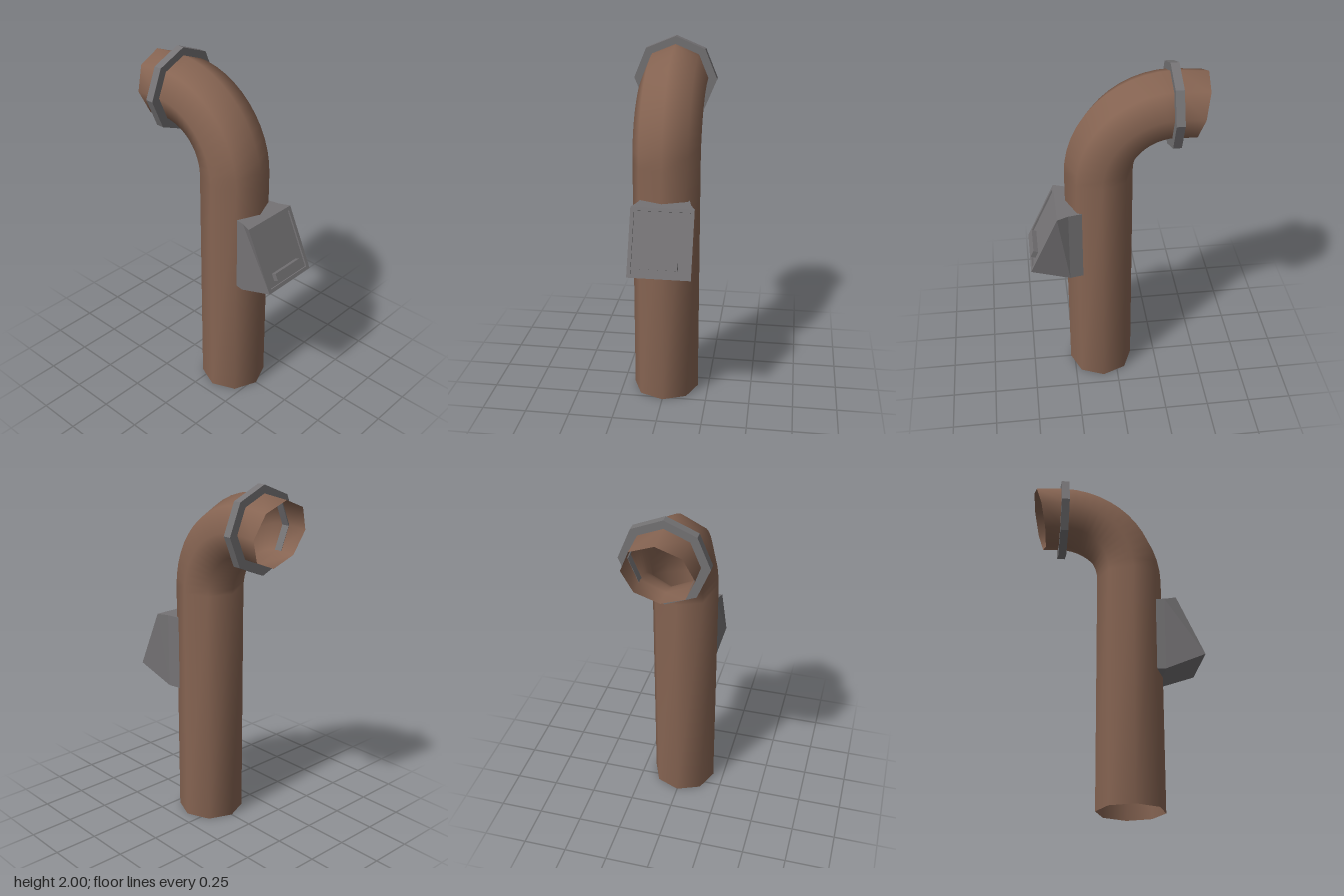
import * as THREE from 'three';

const SIDES = 8;

// Eight-sided bent tube, swept ring by ring and open at both ends
function pipeGeometry(stations, r) {
  const pos = [], idx = [];
  for (const [x, y, t] of stations) {
    for (let i = 0; i < SIDES; i++) {
      const a = (i / SIDES) * Math.PI * 2;
      const c = r * Math.cos(a);
      pos.push(x + c * Math.cos(t), y + c * Math.sin(t), r * Math.sin(a));
    }
  }
  for (let j = 0; j < stations.length - 1; j++) {
    for (let i = 0; i < SIDES; i++) {
      const a = j * SIDES + i, c = j * SIDES + (i + 1) % SIDES;
      idx.push(a, a + SIDES, c, c, a + SIDES, c + SIDES);
    }
  }
  const g = new THREE.BufferGeometry();
  g.setAttribute('position', new THREE.Float32BufferAttribute(pos, 3));
  g.setIndex(idx);
  g.computeVertexNormals();
  return g;
}

// Four-cornered sections joined in order, with flat faces and closed ends.
// Section: [low x, low y, high x, high y, min z, max z]
function loftGeometry(sections) {
  const pos = [];
  const loops = sections.map(([xl, yl, xh, yh, z0, z1]) =>
    [[xl, yl, z0], [xh, yh, z0], [xh, yh, z1], [xl, yl, z1]]);
  const quad = (a, b, c, d) => pos.push(...a, ...b, ...c, ...a, ...c, ...d);
  for (let k = 0; k < loops.length - 1; k++) {
    const p = loops[k], q = loops[k + 1];
    for (let i = 0; i < 4; i++) {
      const n = (i + 1) % 4;
      quad(p[i], p[n], q[n], q[i]);
    }
  }
  const first = loops[0], last = loops[loops.length - 1];
  quad(last[0], last[1], last[2], last[3]);
  quad(first[3], first[2], first[1], first[0]);
  const g = new THREE.BufferGeometry();
  g.setAttribute('position', new THREE.Float32BufferAttribute(pos, 3));
  g.computeVertexNormals();
  return g;
}

function octagon(target, r) {
  const pts = [];
  for (let i = 0; i < SIDES; i++) {
    const a = (i / SIDES) * Math.PI * 2;
    pts.push(new THREE.Vector2(r * Math.cos(a), r * Math.sin(a)));
  }
  return target.setFromPoints(pts);
}

export function createModel() {
  const model = new THREE.Group();
  model.name = 'ventPipe';

  const rust = new THREE.MeshStandardMaterial({ color: 0x86644f });
  rust.name = 'rustyBrown';
  rust.color.set(0x866452);
  rust.side = THREE.DoubleSide;
  const steel = new THREE.MeshStandardMaterial({ color: 0x757375 });
  steel.name = 'steelGrey';

  const add = (name, geometry, material) => {
    const mesh = new THREE.Mesh(geometry, material);
    mesh.name = name;
    model.add(mesh);
    return mesh;
  };

  // Pipe: straight riser, quarter bend, short drooping outlet
  const bendX = -0.31, bendY = 1.375, bendR = 0.395, steps = 12;
  const stations = [[0.085, 0, 0]];
  for (let i = 0; i <= steps; i++) {
    const t = (i / steps) * Math.PI / 2;
    stations.push([bendX + bendR * Math.cos(t), bendY + bendR * Math.sin(t), t]);
  }
  stations.push([-0.45, 1.76, THREE.MathUtils.degToRad(102.5)]);
  add('pipe', pipeGeometry(stations, 0.188), rust);

  // Collar around the outlet
  const ring = octagon(new THREE.Shape(), 0.238);
  ring.holes.push(octagon(new THREE.Path(), 0.184));
  const collar = add('collar',
    new THREE.ExtrudeGeometry(ring, { depth: 0.046, bevelEnabled: false }), steel);
  collar.rotation.y = Math.PI / 2;
  collar.position.set(-0.334, 1.763, 0);

  // Hatch box: flared body, slanted front with a rim and a recessed door
  const dx = 0.415, dy = -0.91;      // down the slanted front
  const nx = 0.91, ny = 0.415;       // out of the slanted front
  const top = [0.33, 1.2], bottom = [0.487, 0.858];
  const front = (inset, depth, z) => [
    bottom[0] - dx * inset - nx * depth, bottom[1] - dy * inset - ny * depth,
    top[0] + dx * inset - nx * depth, top[1] + dy * inset - ny * depth,
    -0.185 + z, 0.158 - z];
  add('hatchBox', loftGeometry([
    [0.19, 0.77, 0.19, 1.2, -0.143, 0.122],
    [0.268, 0.77, 0.268, 1.2, -0.158, 0.135],
    front(0, 0, 0),
    front(0.02, 0, 0.02),
    front(0.02, 0.01, 0.02),
  ]), steel);

  // Door handle
  const handle = add('hatchHandle', new THREE.BoxGeometry(0.034, 0.042, 0.2), steel);
  handle.rotation.z = Math.atan2(ny, nx);
  handle.position.set(0.459, 0.921, -0.012);

  return model;
}
